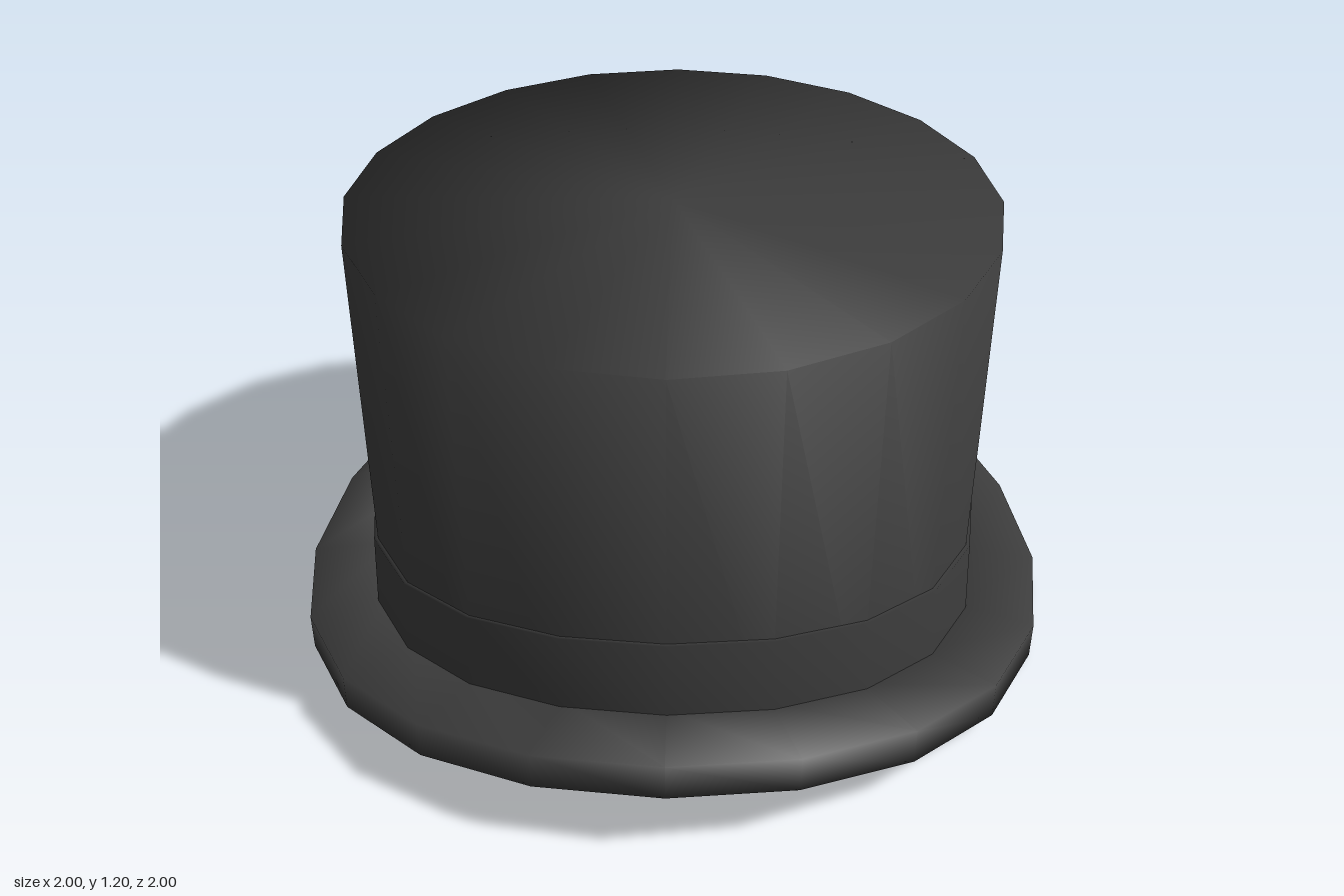
import * as THREE from 'three';
import { mergeVertices } from 'three/addons/utils/BufferGeometryUtils.js';

const SIDES = 20;

// Turn a [radius, height] profile, then bend everything below the crown top
// into a saddle: raised at front and back, lowered at the sides.
function turned(profile) {
  const points = profile.map(([r, y]) => new THREE.Vector2(r, y));
  let geometry = new THREE.LatheGeometry(points, SIDES);
  const pos = geometry.attributes.position;
  for (let i = 0; i < pos.count; i++) {
    const x = pos.getX(i), y = pos.getY(i), z = pos.getZ(i);
    const r = Math.hypot(x, z);
    if (y < 1 && r > 0) pos.setY(i, y + 0.1 * (z * z - x * x) / r);
  }
  // Weld the seams so the felt shades smoothly around its edges
  geometry.deleteAttribute('uv');
  geometry.deleteAttribute('normal');
  geometry = mergeVertices(geometry, 1e-4);
  geometry.computeVertexNormals();
  return geometry;
}

export function createModel() {
  const hat = new THREE.Group();
  hat.name = 'hat';
  const felt = new THREE.MeshStandardMaterial({ color: 0x3c3c3c, side: THREE.DoubleSide });
  felt.name = 'charcoal felt';

  const add = (name, profile) => {
    const mesh = new THREE.Mesh(turned(profile), felt);
    mesh.name = name;
    hat.add(mesh);
  };

  // Hollow crown: straight wall and flat top, open underneath
  add('crown', [[0.8, 0.11], [0.8, 1.2], [0, 1.2]]);

  // Thick curved brim ring
  add('brim', [[0.8, 0.1], [1, 0.1], [1, 0.2], [0.8, 0.2], [0.8, 0.1]]);

  // Slightly flared band around the foot of the crown
  add('hatBand', [[0.82, 0.19], [0.81, 0.405], [0.798, 0.405]]);

  return hat;
}
